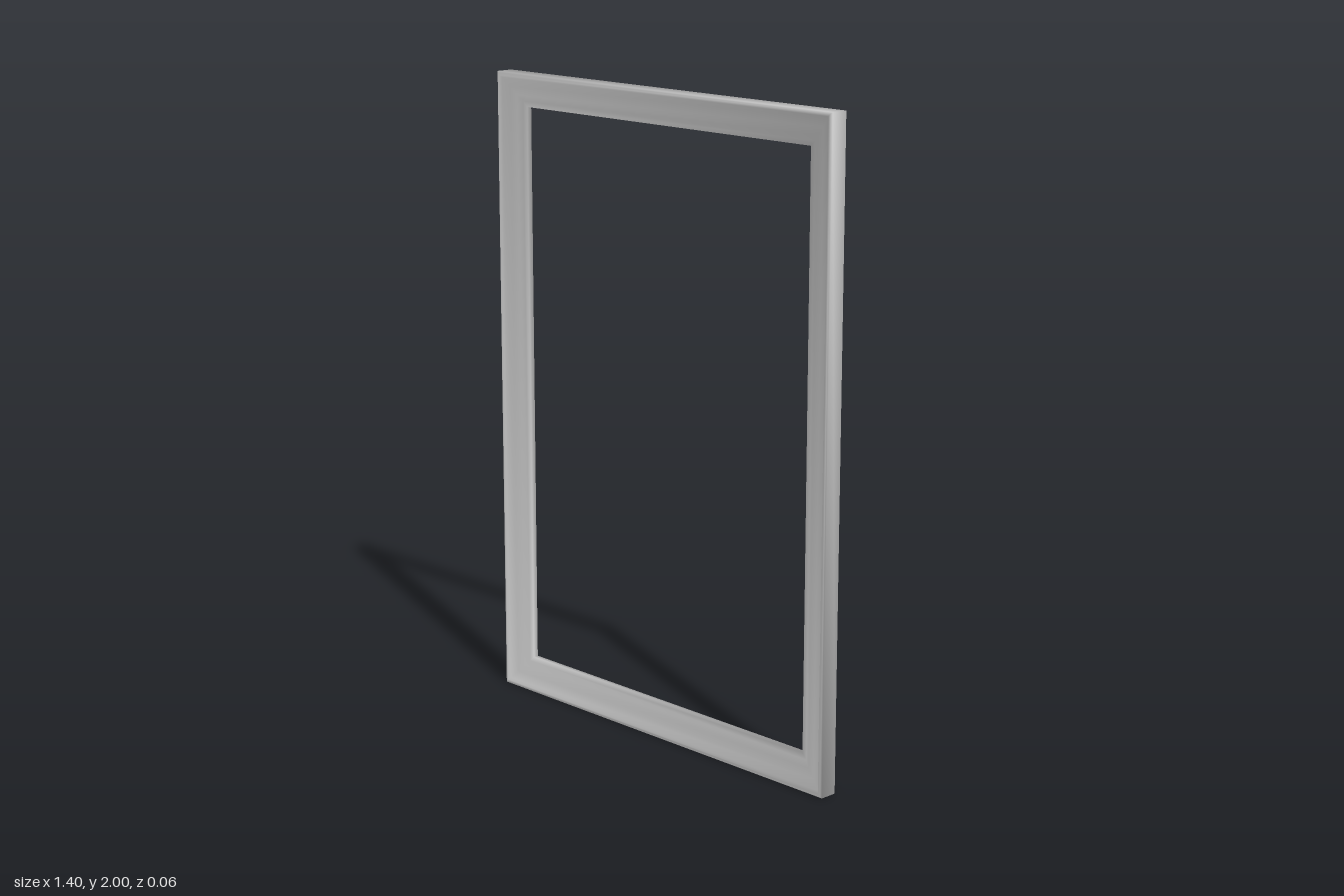
import * as THREE from 'three';

// Moulding cross-section: [inset from the outer edge, z], from outer back round the front to inner back
const PROFILE = [
  [0, -0.03], [0, 0.025], [0.004, 0.029], [0.012, 0.03], [0.018, 0.023],
  [0.045, 0.013], [0.07, 0.008], [0.088, -0.001], [0.105, -0.003],
  [0.105, -0.019], [0.06, -0.026],
];
const HALF_W = 0.70, HALF_H = 1;

// Sweep the cross-section round the four mitred corners, sharing vertices for smooth shading
function frameGeometry() {
  const corners = [[-1, -1], [1, -1], [1, 1], [-1, 1]];
  const n = PROFILE.length;
  const positions = [], indices = [];
  for (const [sx, sy] of corners) {
    for (const [inset, z] of PROFILE) {
      positions.push(sx * (HALF_W - inset), HALF_H + sy * (HALF_H - inset), z);
    }
  }
  for (let i = 0; i < 4; i++) {
    for (let j = 0; j < n; j++) {
      const a = i * n + j, b = ((i + 1) % 4) * n + j;
      const c = ((i + 1) % 4) * n + (j + 1) % n, d = i * n + (j + 1) % n;
      indices.push(a, b, c, a, c, d);
    }
  }
  const geometry = new THREE.BufferGeometry();
  geometry.setAttribute('position', new THREE.Float32BufferAttribute(positions, 3));
  geometry.setIndex(indices);
  geometry.computeVertexNormals();
  return geometry;
}

export function createModel() {
  const model = new THREE.Group();
  model.name = 'pictureFrame';
  const material = new THREE.MeshStandardMaterial({ color: 0xcccccc });
  const frame = new THREE.Mesh(frameGeometry(), material);
  frame.name = 'frameMoulding';
  model.add(frame);
  return model;
}
